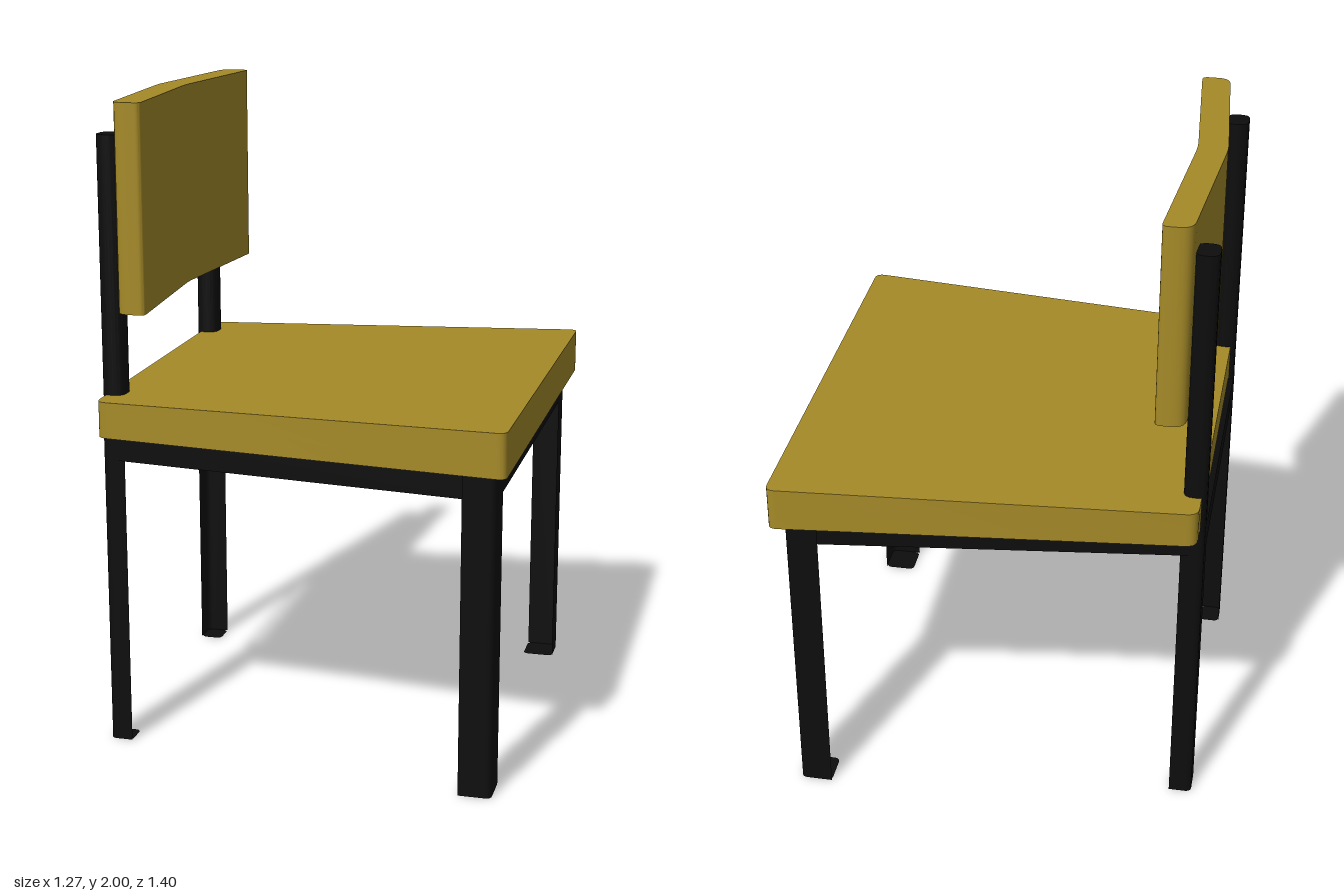
import * as THREE from 'three';
import { toCreasedNormals } from 'three/addons/utils/BufferGeometryUtils.js';

const ochre = new THREE.MeshStandardMaterial({ color: 0xa58a28 });
const black = new THREE.MeshStandardMaterial({ color: 0x0d0d0d, side: THREE.DoubleSide });

// Closed outline in plan (x, z); each corner is [x, z, radius]
function roundedOutline(corners) {
  const shape = new THREE.Shape();
  const n = corners.length;
  corners.forEach(([x, z, r], i) => {
    const c = new THREE.Vector2(x, z);
    const toward = (k) => {
      const d = new THREE.Vector2(corners[k][0], corners[k][1]).sub(c);
      return d.normalize().multiplyScalar(r).add(c);
    };
    const a = toward((i + n - 1) % n), b = toward((i + 1) % n);
    if (i === 0) shape.moveTo(a.x, a.y); else shape.lineTo(a.x, a.y);
    if (r > 0) shape.quadraticCurveTo(c.x, c.y, b.x, b.y);
  });
  shape.closePath();
  return shape;
}

// Plan outline raised from y0 to y1
function slab(corners, y0, y1) {
  const geo = new THREE.ExtrudeGeometry(roundedOutline(corners), {
    depth: y1 - y0, bevelEnabled: false, curveSegments: 5,
  });
  return geo.rotateX(Math.PI / 2).translate(0, y1, 0);
}

// Thin upright sheet following plan points from y0 to y1
function sheet(points, y0, y1) {
  const pos = [], index = [];
  points.forEach((p, i) => {
    pos.push(p.x, y0, p.y, p.x, y1, p.y);
    if (i > 0) {
      const a = 2 * i - 2;
      index.push(a, a + 2, a + 1, a + 1, a + 2, a + 3);
    }
  });
  const geo = new THREE.BufferGeometry();
  geo.setAttribute('position', new THREE.Float32BufferAttribute(pos, 3));
  geo.setIndex(index);
  geo.computeVertexNormals();
  return geo;
}

export function createModel() {
  const group = new THREE.Group();
  const add = (name, geo, mat, parent = group) => {
    const mesh = new THREE.Mesh(geo, mat);
    mesh.name = name;
    parent.add(mesh);
    return mesh;
  };
  const v = (x, z) => new THREE.Vector2(x, z);

  // Seat: tapered to the back, slightly thicker at the front
  const seatGeo = slab([
    [-0.625, -0.588, 0.035], [0.635, -0.702, 0.03],
    [0.635, 0.702, 0.03], [-0.625, 0.588, 0.035],
  ], 0, 1);
  const p = seatGeo.attributes.position;
  for (let i = 0; i < p.count; i++) {
    const t = (p.getX(i) + 0.625) / 1.26;
    p.setY(i, p.getY(i) > 0.5 ? 1.115 + 0.015 * t : 1.005 - 0.01 * t);
  }
  add('seat', toCreasedNormals(seatGeo, 0.6), ochre);

  // Backrest: two panels' worth of board meeting in a shallow bend
  const backGeo = slab([
    [-0.612, 0, 0.04], [-0.568, -0.542, 0.04], [-0.48, -0.542, 0.02],
    [-0.523, 0, 0.04], [-0.48, 0.542, 0.02], [-0.568, 0.542, 0.04],
  ], 1.375, 2);
  add('backrest', toCreasedNormals(backGeo, 0.6), ochre);

  // Angle-section leg with a flat foot; xo, zo is the outer corner
  function leg(name, xo, zo, xi, zi) {
    const part = new THREE.Group();
    part.name = name;
    const r = 0.02;
    const corner = new THREE.QuadraticBezierCurve(
      v(xo - Math.sign(xo) * r, zo), v(xo, zo), v(xo, zo - Math.sign(zo) * r));
    add('angleSection', sheet([v(xi, zo), ...corner.getPoints(5), v(xo, zi)], 0, 1), black, part);
    const foot = new THREE.ShapeGeometry(roundedOutline([
      [xo, zo, r], [xi, zo, r], [xi, zi, r], [xo, zi, r],
    ]));
    add('foot', foot.rotateX(Math.PI / 2), black, part);
    group.add(part);
  }

  for (const [side, s] of [['left', 1], ['right', -1]]) {
    // Viewed along the seat, the two sides mirror across z
    leg(side + 'FrontLeg', 0.6, 0.648 * s, 0.5, 0.54 * s);
    leg(side + 'BackLeg', -0.64, 0.5 * s, -0.57, 0.42 * s);

    // Upright carrying the backrest
    const z0 = 0.46 * s - 0.04, z1 = 0.46 * s + 0.04, r = 0.03;
    const post = slab([[-0.64, z0, r], [-0.57, z0, r], [-0.57, z1, r], [-0.64, z1, r]], 0.99, 1.9);
    add(side + 'BackPost', toCreasedNormals(post, 0.6), black);

    // Side rail
    add(side + 'Rail', sheet([v(-0.62, 0.5 * s), v(0.58, 0.648 * s)], 0.912, 1), black);
  }

  // Cross rails
  add('frontRail', sheet([v(0.6, 0.628), v(0.6, -0.628)], 0.912, 1), black);
  add('backRail', sheet([v(-0.64, 0.48), v(-0.64, -0.48)], 0.912, 1), black);

  return group;
}
